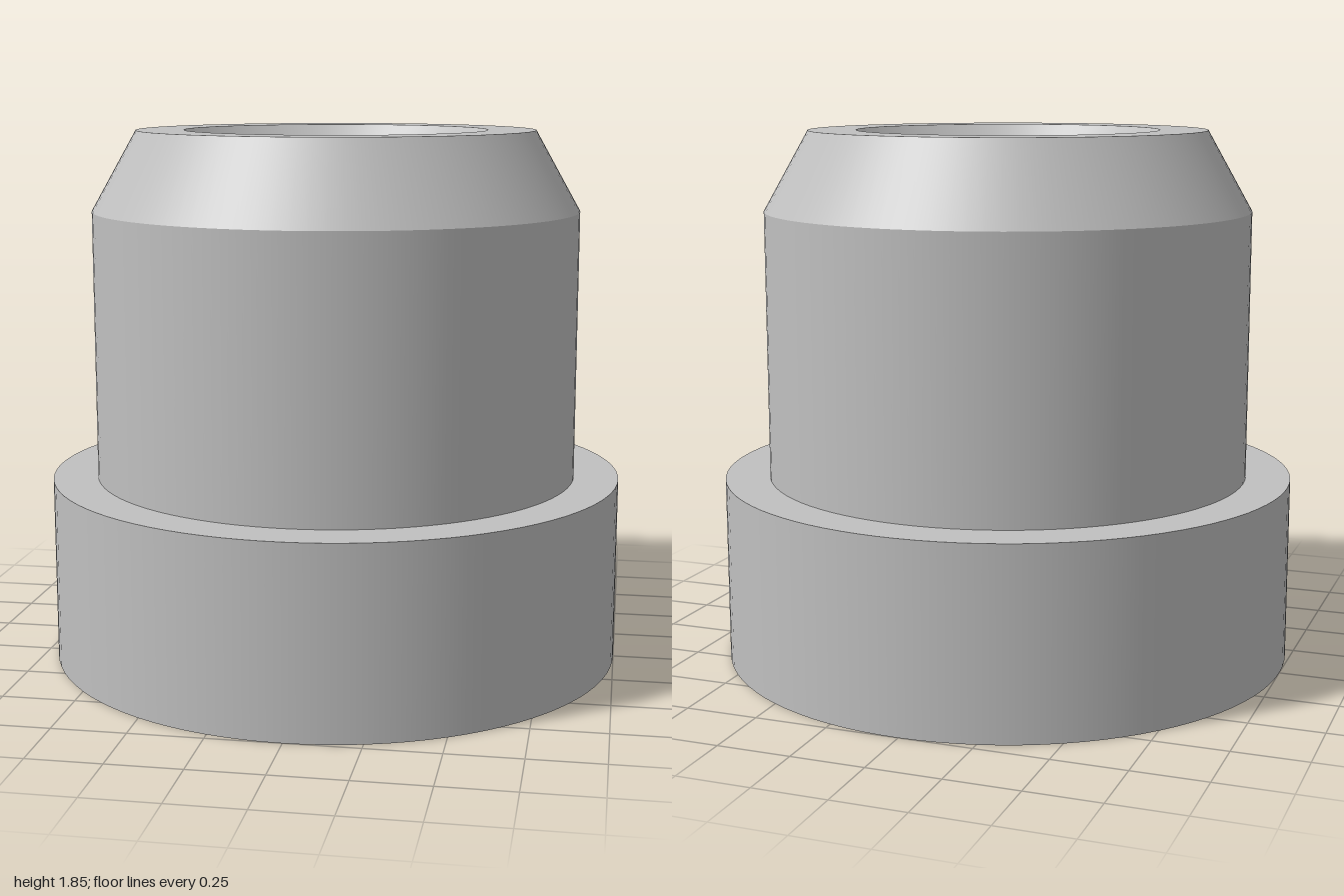
import * as THREE from 'three';

const SEGMENTS = 96;

export function createModel() {
  const group = new THREE.Group();
  group.name = 'flangedBushing';
  const steel = new THREE.MeshStandardMaterial({ color: 0xc0c0c0 });
  steel.name = 'steel grey';

  // Each straight run of the profile is its own surface, so edges stay crisp.
  const addRing = (name, r0, y0, r1, y1) => {
    const points = [new THREE.Vector2(r0, y0), new THREE.Vector2(r1, y1)];
    const mesh = new THREE.Mesh(new THREE.LatheGeometry(points, SEGMENTS), steel);
    mesh.name = name;
    group.add(mesh);
  };

  // Closed profile: up the outside, over the top rim, down the bore, out along the base.
  const profile = [
    ['flangeWall', 1, 0],
    ['flangeTop', 1, 0.645],
    ['bodyWall', 0.845, 0.645],
    ['outerChamfer', 0.845, 1.575],
    ['topRim', 0.69, 1.85],
    ['boreChamfer', 0.525, 1.85],
    ['upperBore', 0.402, 1.69],
    ['boreStep', 0.402, 0.93],
    ['lowerBore', 0.46, 0.93],
    ['base', 0.46, 0],
  ];
  profile.forEach(([name, r, y], i) => {
    const [, nextR, nextY] = profile[(i + 1) % profile.length];
    addRing(name, r, y, nextR, nextY);
  });

  return group;
}
